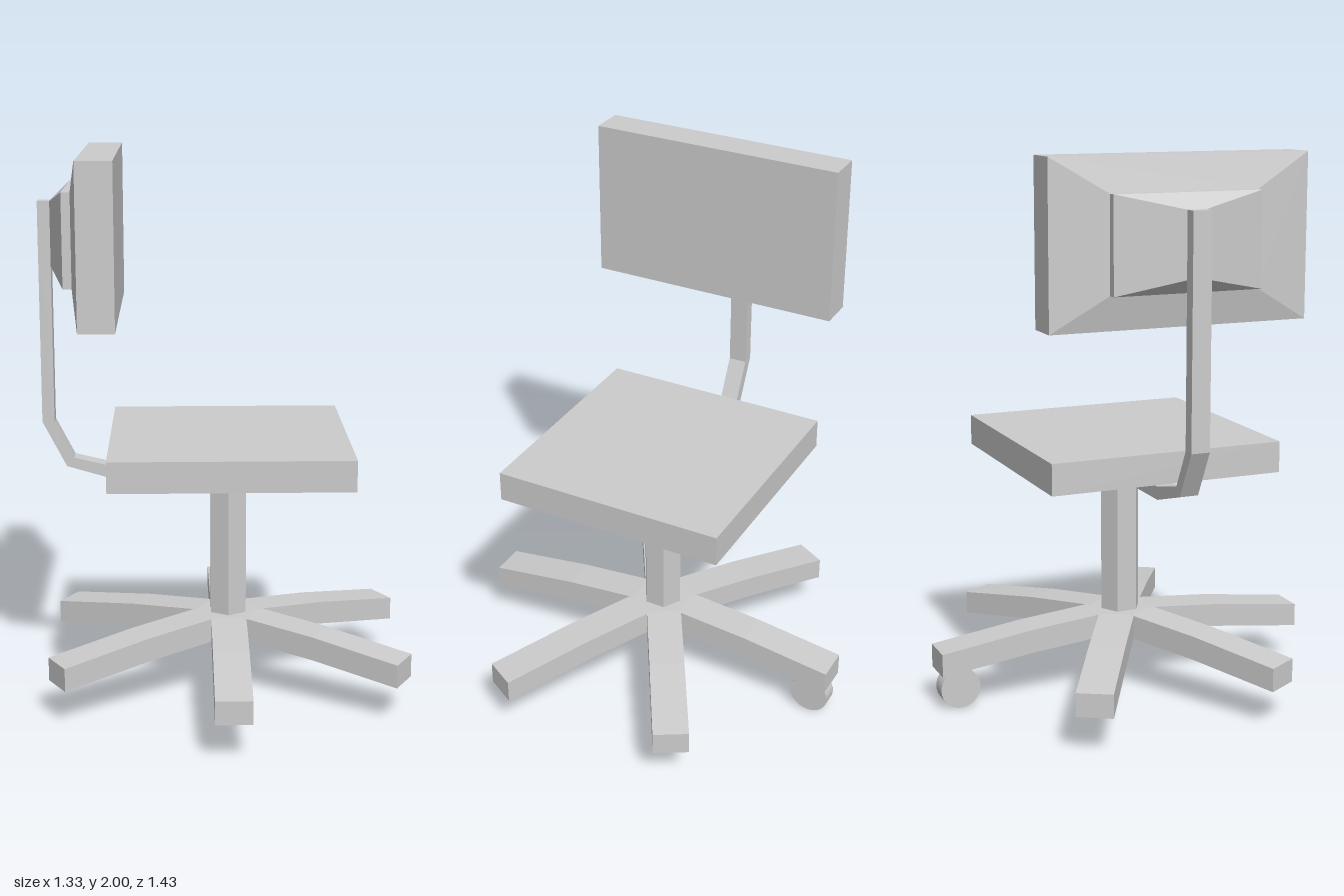
import * as THREE from 'three';

const material = new THREE.MeshStandardMaterial({ color: 0xcccccc, flatShading: true });
const smooth = new THREE.MeshStandardMaterial({ color: 0xcccccc });
const CX = 0.01; // axis of the column and base

function add(parent, name, geometry, mat = material) {
  const mesh = new THREE.Mesh(geometry, mat);
  mesh.name = name;
  parent.add(mesh);
  return mesh;
}

// Box from its limits on x and y, centred on z
function box(x0, x1, y0, y1, depth) {
  return new THREE.BoxGeometry(x1 - x0, y1 - y0, depth).translate((x0 + x1) / 2, (y0 + y1) / 2, 0);
}

// Side profile in x and y, extruded evenly about z = 0
function slab(points, depth) {
  const shape = new THREE.Shape(points.map(([x, y]) => new THREE.Vector2(x, y)));
  return new THREE.ExtrudeGeometry(shape, { depth, bevelEnabled: false }).translate(0, 0, -depth / 2);
}

// Rectangular sections [x, yLow, yHigh, halfDepth] joined along x, in rising x
function loft(sections) {
  const n = sections.length - 1;
  const geometry = new THREE.BoxGeometry(1, 1, 1, n, 1, 1);
  const p = geometry.attributes.position;
  for (let i = 0; i < p.count; i++) {
    const [x, y0, y1, half] = sections[Math.round((p.getX(i) + 0.5) * n)];
    p.setXYZ(i, x, p.getY(i) > 0 ? y1 : y0, Math.sign(p.getZ(i)) * half);
  }
  const flat = geometry.toNonIndexed();
  flat.computeVertexNormals();
  return flat;
}

export function createModel() {
  const chair = new THREE.Group();
  chair.name = 'swivelChair';

  // Star base with six drooping legs
  const base = new THREE.Group();
  base.name = 'base';
  base.position.x = CX;
  chair.add(base);
  const legProfile = [
    [0, 0.208], [0.1, 0.207], [0.38, 0.182], [0.717, 0.138],
    [0.717, 0.224], [0.38, 0.27], [0.1, 0.295], [0, 0.295],
  ];
  const legGeometry = slab(legProfile, 0.13);
  for (let i = 0; i < 6; i++) {
    add(base, 'leg', legGeometry).rotation.y = Math.PI / 6 + (i * Math.PI) / 3;
  }

  // Single caster under the rear leg
  const wheel = new THREE.CylinderGeometry(0.074, 0.074, 0.064, 32).rotateZ(Math.PI / 2);
  add(base, 'casterWheel', wheel, smooth).position.set(0, 0.074, -0.64);

  // Hexagonal column
  add(base, 'column', new THREE.CylinderGeometry(0.075, 0.075, 0.58, 6)).position.y = 0.51;

  // Seat and its mounting plate
  add(chair, 'seatPlate', box(-0.125, 0.148, 0.8, 0.868, 0.27));
  add(chair, 'seat', box(-0.42, 0.442, 0.868, 0.98, 0.864));

  // Bent bar carrying the backrest
  add(chair, 'backSupport', slab([
    [-0.12, 0.81], [-0.12, 0.857], [-0.395, 0.857], [-0.553, 0.895], [-0.622, 1.03], [-0.622, 1.828],
    [-0.666, 1.828], [-0.666, 1.03], [-0.58, 0.863], [-0.4, 0.81],
  ], 0.068));

  // Backrest cushion and the tapered shell behind it
  add(chair, 'backrest', box(-0.506, -0.38, 1.43, 2, 0.94));
  add(chair, 'backrestShell', loft([
    [-0.622, 1.6, 1.828, 0.034],
    [-0.565, 1.55, 1.88, 0.268],
    [-0.534, 1.55, 1.88, 0.268],
    [-0.506, 1.43, 2, 0.47],
  ]));

  return chair;
}
